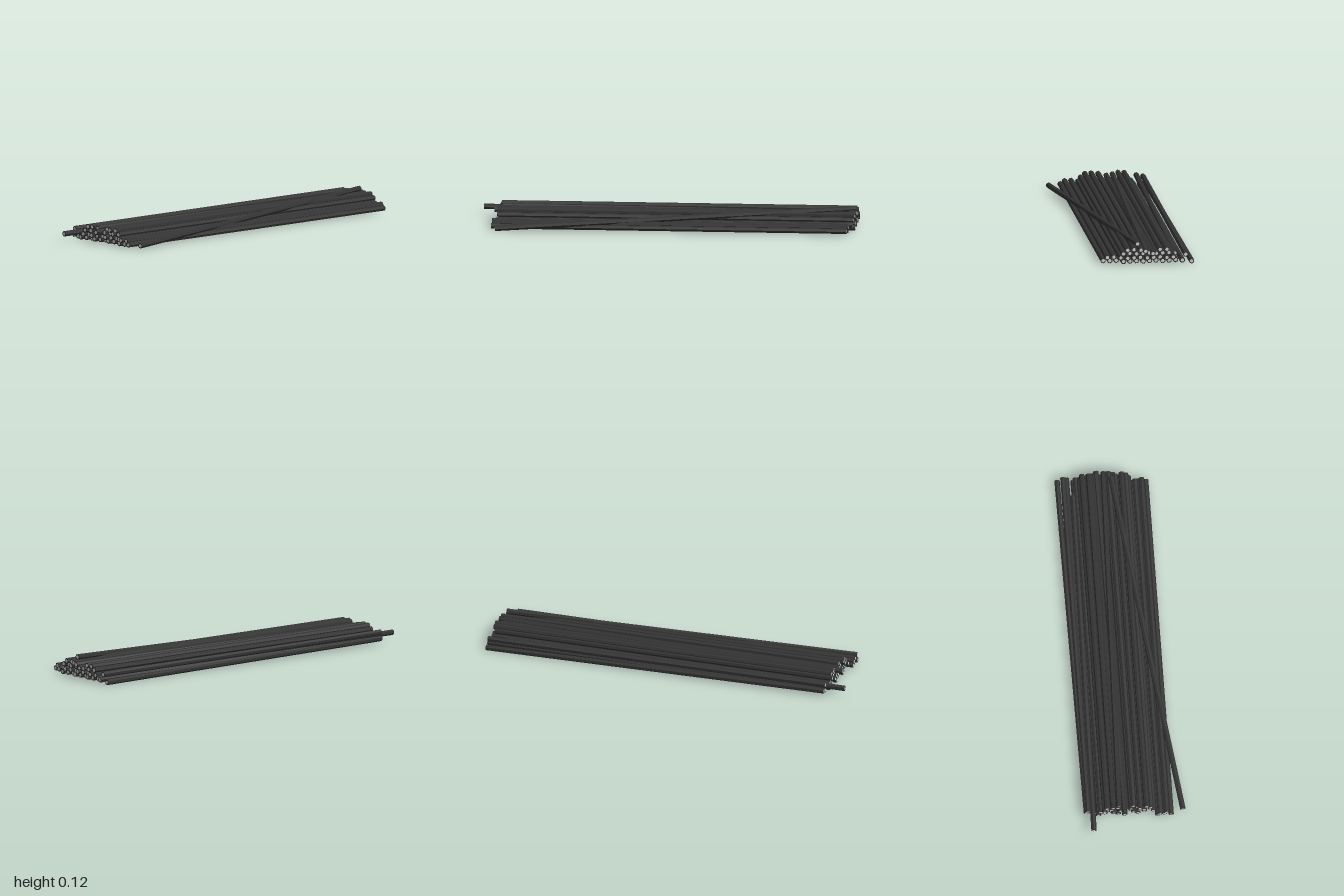
import * as THREE from 'three';

const LENGTH = 1.88, RADIUS = 0.0148, SIDES = 7;

export function createModel() {
  const group = new THREE.Group();
  group.name = 'rodPile';
  const dark = new THREE.MeshStandardMaterial({ color: 0x333333, flatShading: true });
  const grey = new THREE.MeshStandardMaterial({ color: 0xcccccc, flatShading: true });

  // shared geometry, lying along z
  const shellGeo = new THREE.CylinderGeometry(RADIUS, RADIUS, LENGTH, SIDES).rotateX(Math.PI / 2);
  const coreGeo = new THREE.CircleGeometry(RADIUS * 0.64, SIDES).rotateZ(Math.PI / 2);
  let count = 0;

  // one rod from its front end to its back end: dark shell with a pale core at both ends
  function addRod(name, front, back) {
    const a = new THREE.Vector3(...front), b = new THREE.Vector3(...back);
    const rod = new THREE.Group();
    rod.name = name;
    const shell = new THREE.Mesh(shellGeo, dark);
    shell.name = 'shell';
    shell.scale.z = a.distanceTo(b) / LENGTH;
    rod.add(shell);
    for (const s of [1, -1]) {
      const core = new THREE.Mesh(coreGeo, grey);
      core.name = s > 0 ? 'frontCore' : 'backCore';
      core.position.z = s * (a.distanceTo(b) / 2 + 0.0006);
      if (s < 0) core.rotation.y = Math.PI;
      rod.add(core);
    }
    rod.position.addVectors(a, b).multiplyScalar(0.5);
    rod.quaternion.setFromUnitVectors(new THREE.Vector3(0, 0, 1), a.clone().sub(b).normalize());
    rod.rotateZ(count++ * 1.7); // each rod is rolled differently
    group.add(rod);
  }

  // stacked layers of parallel rods: [height, first x, number of rods]
  const layers = [
    [0.022, -0.217, 13],
    [0.039, -0.170, 11],
    [0.062, -0.148, 8],
    [0.081, 0.003, 3],
  ];
  layers.forEach(([y, x0, n], row) => {
    for (let i = 0; i < n; i++) {
      const x = x0 + i * 0.0347;
      // rods on the +x side sit a little further forward
      const front = x > 0.115 ? 0.93 - 0.006 * ((i + row) % 2)
        : 0.893 + 0.008 * ((i * 2 + row) % 3);
      addRod('stackedRod', [x, y, front], [x, y, front - LENGTH]);
    }
  });

  // rods lying loose on top and at the sides: front end, back end
  const loose = [
    [[-0.136, 0.081, 0.90], [-0.136, 0.081, -0.98]],
    [[-0.104, 0.083, 0.90], [-0.100, 0.081, -0.98]],
    [[-0.073, 0.077, 0.89], [-0.022, 0.075, -0.99]],
    [[-0.045, 0.062, 0.93], [-0.060, 0.064, -0.999]],
    [[-0.236, 0.059, 0.90], [-0.236, 0.052, -0.98]],
    [[-0.246, 0.028, 0.895], [-0.267, 0.015, -0.98]],
    [[-0.213, 0.044, 1.0], [-0.190, 0.038, -0.88]],
    [[0.264, 0.022, 0.905], [0.016, 0.107, -0.95]],
  ];
  loose.forEach(([f, b], i) => addRod(i === loose.length - 1 ? 'leaningRod' : 'looseRod', f, b));
  return group;
}
